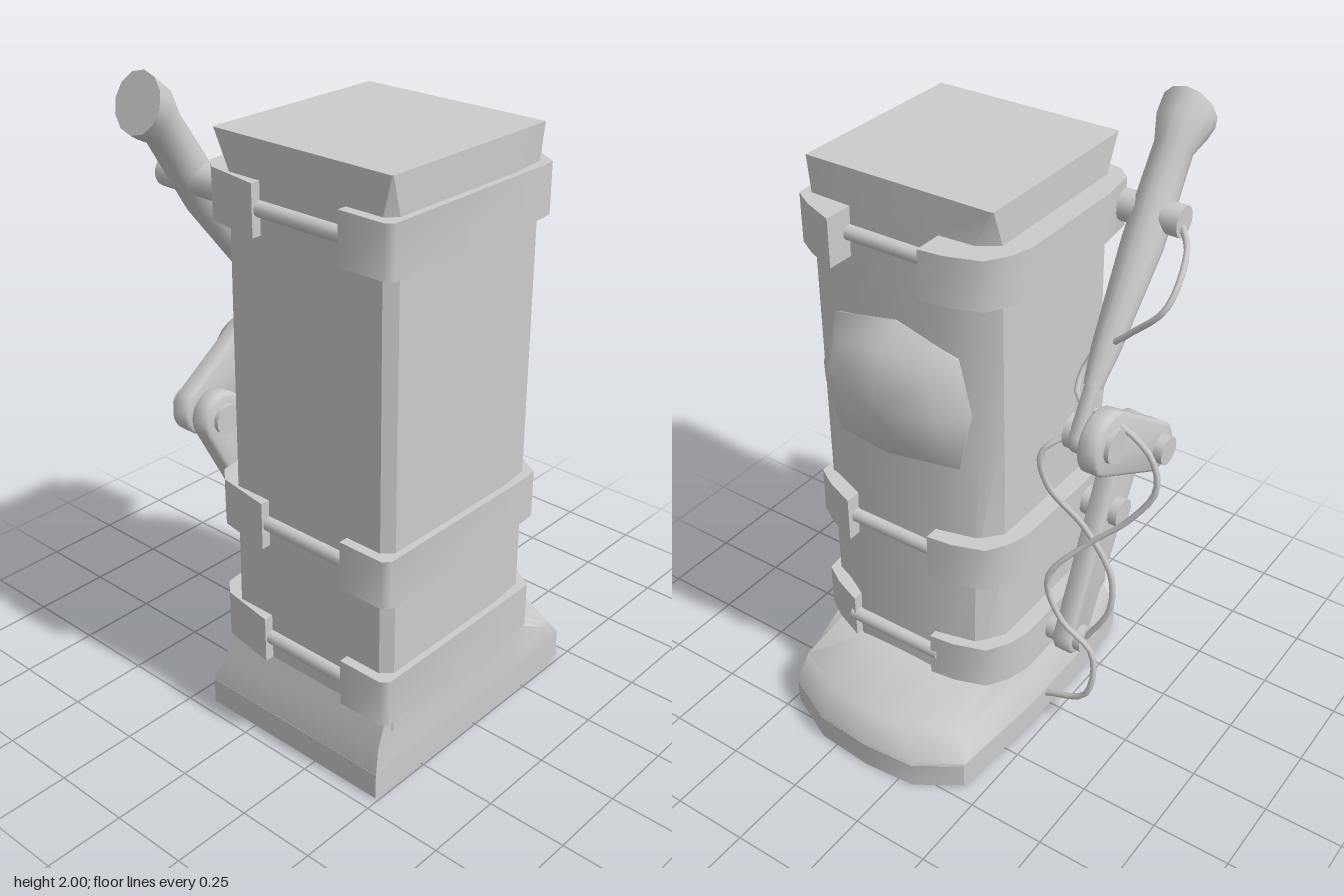
import * as THREE from 'three';
import { toCreasedNormals } from 'three/addons/utils/BufferGeometryUtils.js';

const mat = new THREE.MeshStandardMaterial({ color: 0xcccccc, side: THREE.DoubleSide });

function add(parent, name, geometry) {
  const mesh = new THREE.Mesh(geometry, mat);
  mesh.name = name;
  parent.add(mesh);
  return mesh;
}

// Skin a list of equal-length rings of Vector3 and cap both ends.
function loft(rings, crease = 0.7) {
  const pos = [];
  const tri = (...pts) => pts.forEach((p) => pos.push(p.x, p.y, p.z));
  const n = rings[0].length;
  const mid = (ring) => ring.reduce((s, p) => s.add(p), new THREE.Vector3()).divideScalar(n);
  const first = rings[0], last = rings[rings.length - 1];
  const c0 = mid(first), c1 = mid(last);
  for (let j = 0; j < n; j++) {
    const k = (j + 1) % n;
    for (let i = 0; i < rings.length - 1; i++) {
      const a = rings[i], b = rings[i + 1];
      tri(a[j], a[k], b[k]);
      tri(a[j], b[k], b[j]);
    }
    tri(c0, first[k], first[j]);
    tri(c1, last[j], last[k]);
  }
  const g = new THREE.BufferGeometry();
  g.setAttribute('position', new THREE.Float32BufferAttribute(pos, 3));
  g.computeVertexNormals();
  return toCreasedNormals(g, crease);
}

const level = (y, pts) => pts.map(([x, z]) => new THREE.Vector3(x, y, z));

// Flat link with round ends of radius ra and rb, between z0 and z1
function link(a, b, ra, rb, z0, z1) {
  const t = Math.atan2(b[1] - a[1], b[0] - a[0]), q = Math.PI / 2;
  const s = new THREE.Shape();
  s.absarc(a[0], a[1], ra, t + q, t + 3 * q, false);
  s.absarc(b[0], b[1], rb, t - q, t + q, false);
  const bevel = 0.008;
  const g = new THREE.ExtrudeGeometry(s, {
    depth: z1 - z0 - 2 * bevel, bevelThickness: bevel, bevelSize: bevel,
    bevelOffset: -bevel, bevelSegments: 1, curveSegments: 8,
  });
  g.translate(0, 0, z0 + bevel);
  return toCreasedNormals(g, 0.9);
}

// Round pin along z
function pin(parent, name, [x, y], r, z0, z1) {
  const g = new THREE.CylinderGeometry(r, r, z1 - z0, 14);
  g.rotateX(Math.PI / 2);
  add(parent, name, g).position.set(x, y, (z0 + z1) / 2);
}

function cable(parent, name, pts) {
  const curve = new THREE.CatmullRomCurve3(pts.map((p) => new THREE.Vector3(...p)));
  add(parent, name, new THREE.TubeGeometry(curve, 64, 0.01, 6));
}

export function createModel() {
  const model = new THREE.Group();
  model.name = 'armouredBoot';

  // Shaft: square at the top, swelling towards the toe side lower down
  const shin = (y) => 0.21 + 0.08 * Math.min(1, (1.86 - y) / 1.6);
  const shaftRing = (y) => {
    const b = shin(y), back = -0.13 - 0.02 * (1.86 - y) / 1.6, r = y > 1.8 ? 0.005 : 0.06;
    return level(y, [
      [-0.41 + r * 0.5, 0.49], [0.1, 0.49], [0.21, 0.49 - r * 0.2], [b, 0.33], [b, 0.03],
      [Math.max(0.21, b - 0.03), back + r], [0.21 - r * 0.7, back], [-0.41 + r, back],
      [-0.41, back + r], [-0.41, 0.49 - r * 0.5],
    ]);
  };
  add(model, 'shaft', loft([0.2, 0.7, 1.2, 1.6, 1.75, 1.86].map(shaftRing), 0.6));

  // Foot: sole slab and sloping upper
  const sole = [[-0.455, 0.49], [0.2, 0.49], [0.4, 0.49], [0.46, 0.48], [0.54, 0.31], [0.555, 0.12],
    [0.54, -0.05], [0.45, -0.185], [0.12, -0.21], [-0.25, -0.21], [-0.455, -0.18]];
  const upper = [[-0.44, 0.485], [0.2, 0.485], [0.36, 0.485], [0.4, 0.48], [0.48, 0.31], [0.49, 0.17],
    [0.485, 0.03], [0.4, -0.13], [0.12, -0.165], [-0.25, -0.165], [-0.435, -0.15]];
  const ankle = [[-0.41, 0.485], [0.1, 0.485], [0.2, 0.48], [0.23, 0.44], [0.28, 0.31], [0.29, 0.17],
    [0.28, 0.03], [0.21, -0.13], [0.1, -0.15], [-0.25, -0.15], [-0.41, -0.13]];
  add(model, 'sole', loft([level(0, sole), level(0.085, sole)], 0.8));
  add(model, 'footUpper', loft([level(0.08, sole), level(0.095, sole.map(([x, z]) => [x * 0.995, z])),
    level(0.165, upper), level(0.255, ankle)], 0.8));

  // Three straps, each a front and a rear clasp joined by thin side bars
  const frontClasp = [[-0.44, 0.34], [-0.44, 0.49], [-0.42, 0.51], [0.18, 0.51], [0.23, 0.505],
    [0.27, 0.44], [0.31, 0.34]];
  const rearClasp = [[-0.44, 0.04], [0.31, 0.04], [0.3, -0.04], [0.265, -0.14], [0.2, -0.18],
    [0.13, -0.2], [-0.25, -0.2], [-0.37, -0.185], [-0.41, -0.14]];
  for (const y of [1.675, 0.725, 0.33]) {
    const strap = new THREE.Group();
    strap.name = 'strap';
    model.add(strap);
    // the outline runs front, +x side, rear
    add(strap, 'frontClasp', loft([level(y - 0.075, frontClasp), level(y + 0.075, frontClasp)], 0.9));
    add(strap, 'rearClasp', loft([level(y - 0.075, rearClasp), level(y + 0.075, rearClasp)], 0.9));
    for (const x of [-0.412, shin(y) + 0.005]) pin(strap, 'sideBar', [x, y], 0.023, 0.02, 0.36);
  }

  // Domed shin pad on the toe side
  const padEdge = [[0.18, 0.99], [-0.03, 1.03], [-0.07, 1.22], [-0.03, 1.4], [0.18, 1.455],
    [0.4, 1.41], [0.46, 1.22], [0.4, 1.02]];
  const padRing = ([x, k]) => padEdge.map(([z, y]) =>
    new THREE.Vector3(x, 1.215 + (y - 1.215) * k, 0.19 + (z - 0.19) * k));
  add(model, 'shinPad', loft([[0.2, 0.95], [0.235, 1], [0.305, 0.75], [0.335, 0.4], [0.345, 0.1]].map(padRing), 1));

  // Jointed linkage on the rear side
  const linkage = new THREE.Group();
  linkage.name = 'linkage';
  model.add(linkage);
  const top = [-0.35, 1.675], elbow = [-0.02, 1.11], knee = [-0.31, 0.93];
  const mount = [-0.205, 0.72], foot = [-0.02, 0.33];

  // Upper arm with flared, bent head: [x, y, radius, direction angle]
  const arm = [[-0.06, 1.25, 0.028, 2.15], [-0.12, 1.34, 0.042, 2.15], [-0.3, 1.6, 0.062, 2.15],
    [-0.38, 1.73, 0.06, 2.15], [-0.445, 1.835, 0.058, 2.25], [-0.485, 1.885, 0.08, 2.5], [-0.525, 1.917, 0.087, 2.79]];
  add(linkage, 'upperArm', loft(arm.map(([x, y, r, t]) => {
    const ring = [];
    for (let i = 0; i < 12; i++) {
      const a = (i / 12) * Math.PI * 2, v = r * Math.sin(a);
      ring.push(new THREE.Vector3(x + v * Math.sin(t), y - v * Math.cos(t), -0.285 + r * Math.cos(a)));
    }
    return ring;
  }), 0.9));
  add(linkage, 'armEye', link([-0.08, 1.28], elbow, 0.025, 0.06, -0.305, -0.265));
  add(linkage, 'middleLink', link(elbow, knee, 0.1, 0.08, -0.385, -0.32));
  add(linkage, 'lowerLink', link(knee, foot, 0.08, 0.06, -0.3, -0.235));

  pin(linkage, 'topPin', top, 0.047, -0.385, -0.15);
  pin(linkage, 'elbowPin', elbow, 0.055, -0.4, -0.245);
  pin(linkage, 'kneePin', knee, 0.047, -0.415, -0.22);
  pin(linkage, 'mountPin', mount, 0.047, -0.33, -0.15);
  pin(linkage, 'footPin', foot, 0.043, -0.325, -0.15);

  // Loose cables
  cable(linkage, 'longCable', [[-0.35, 1.66, -0.38], [-0.25, 1.64, -0.45], [-0.13, 1.53, -0.463],
    [-0.12, 1.42, -0.36], [-0.11, 1.3, -0.24], [-0.04, 1.21, -0.25], [-0.06, 1.16, -0.37],
    [-0.09, 1.06, -0.47], [-0.09, 0.95, -0.495], [-0.06, 0.82, -0.42], [-0.02, 0.72, -0.32],
    [0.04, 0.58, -0.215], [0.03, 0.42, -0.26], [0.0, 0.3, -0.36], [0.02, 0.14, -0.355], [0.02, 0.06, -0.2]]);
  cable(linkage, 'shortCable', [[-0.02, 1.11, -0.26], [0.05, 1.05, -0.19], [0.04, 0.93, -0.205],
    [-0.03, 0.76, -0.3], [-0.05, 0.6, -0.385], [-0.04, 0.47, -0.39], [-0.02, 0.34, -0.325]]);

  return model;
}
